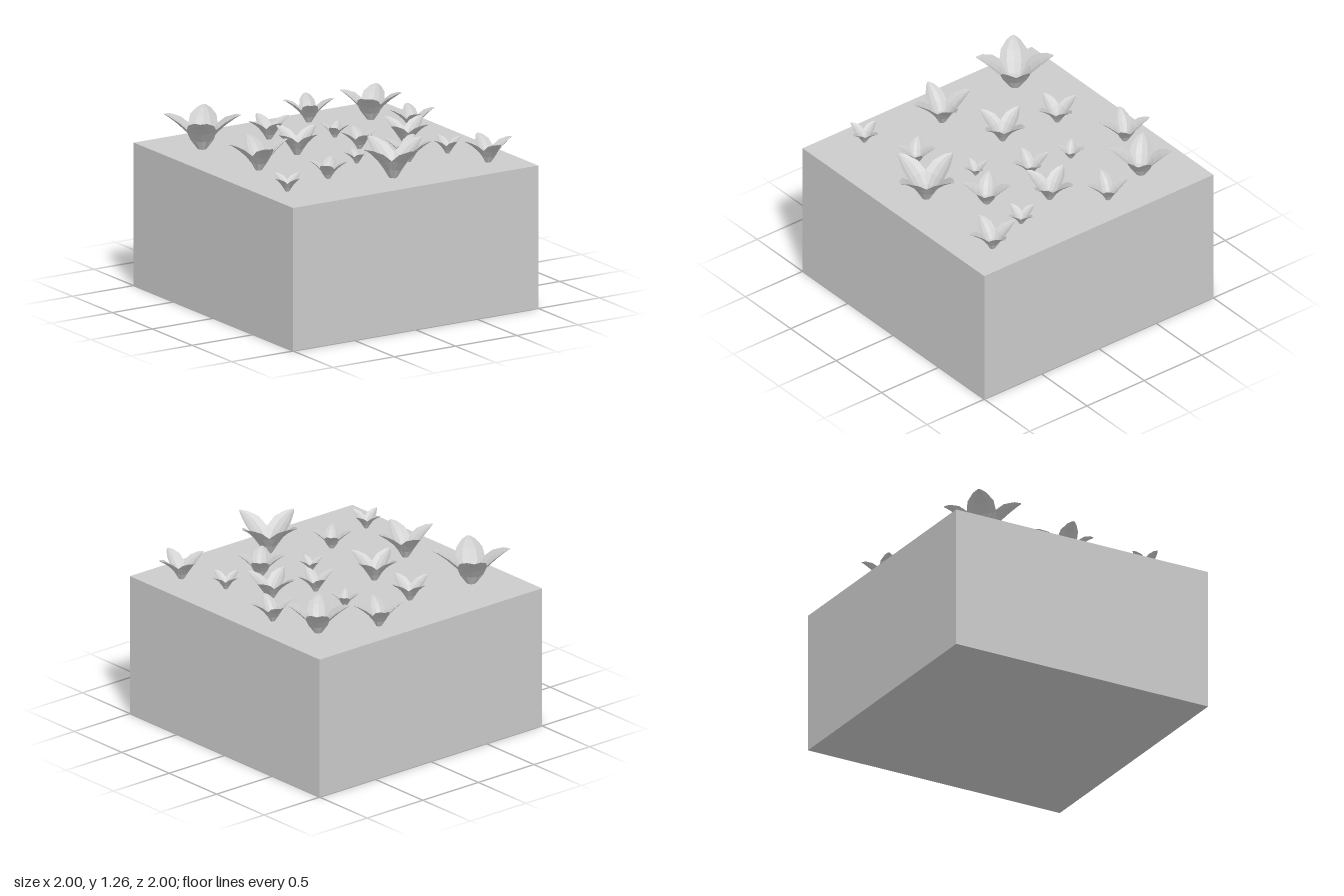
import * as THREE from 'three';

const TOP = 1.015;
// x, z, reach, turn in degrees, width factor
const PLANTS = [
  [-0.695, -0.61, 0.265, 36, 1.17], [-0.177, -0.57, 0.16, 1, 1],
  [0.29, -0.79, 0.175, 26, 1], [0.685, -0.615, 0.215, 43, 1.17],
  [0.23, -0.365, 0.1, 45, 1.1], [0.785, -0.25, 0.157, 19, 1],
  [-0.23, -0.135, 0.188, -15, 1], [-0.665, 0.05, 0.215, 12, 1],
  [0.21, -0.03, 0.14, 11, 1], [0.535, 0.06, 0.185, -21, 1],
  [-0.01, 0.275, 0.093, 8, 1], [0.31, 0.43, 0.165, 44, 1.17],
  [-0.385, 0.495, 0.135, 43, 1.1], [0.65, 0.4, 0.115, -3, 1],
  [-0.8, 0.62, 0.12, -13, 1], [0, 0.715, 0.262, -8, 1],
  [0.76, 0.74, 0.178, 9, 1],
];

// Cupped leaf pointing along +x with a reach of 1
function leafGeometry() {
  // distance out, height, half width
  const spine = [
    [0.1, 0, 0.1], [0.23, 0.24, 0.26], [0.42, 0.48, 0.33],
    [0.65, 0.69, 0.29], [0.87, 0.85, 0.15], [1, 0.92, 0.025],
  ];
  const rows = spine.length - 1, cols = 4;
  const geo = new THREE.PlaneGeometry(1, 1, cols, rows);
  const pos = geo.attributes.position;
  for (let i = 0; i <= rows; i++) {
    const [r, y, w] = spine[i];
    const a = spine[Math.max(i - 1, 0)], b = spine[Math.min(i + 1, rows)];
    const len = Math.hypot(b[0] - a[0], b[1] - a[1]);
    const nx = -(b[1] - a[1]) / len, ny = (b[0] - a[0]) / len;
    for (let j = 0; j <= cols; j++) {
      const s = (2 * j) / cols - 1;
      const lift = 0.38 * w * s * s; // edges curl towards the middle of the plant
      pos.setXYZ(i * (cols + 1) + j, r + nx * lift, y + ny * lift, w * s);
    }
  }
  geo.computeVertexNormals();
  return geo;
}

export function createModel() {
  const model = new THREE.Group();
  const blockMat = new THREE.MeshStandardMaterial({ color: 0xcccccc });
  const leafMat = new THREE.MeshStandardMaterial({
    color: 0xcccccc, flatShading: true, side: THREE.DoubleSide,
  });

  // Ground block
  const block = new THREE.Mesh(new THREE.BoxGeometry(2, TOP, 2), blockMat);
  block.name = 'groundBlock';
  block.position.y = TOP / 2;
  model.add(block);

  // Four-leaved plants scattered over the top
  const leafGeo = leafGeometry();
  for (const [x, z, reach, turn, width] of PLANTS) {
    const plant = new THREE.Group();
    plant.name = 'plant';
    plant.position.set(x, TOP, z);
    plant.rotation.y = -THREE.MathUtils.degToRad(turn);
    plant.scale.setScalar(reach);
    for (let k = 0; k < 4; k++) {
      const leaf = new THREE.Mesh(leafGeo, leafMat);
      leaf.name = 'leaf';
      leaf.rotation.y = (k * Math.PI) / 2;
      leaf.scale.z = width;
      plant.add(leaf);
    }
    model.add(plant);
  }
  return model;
}
